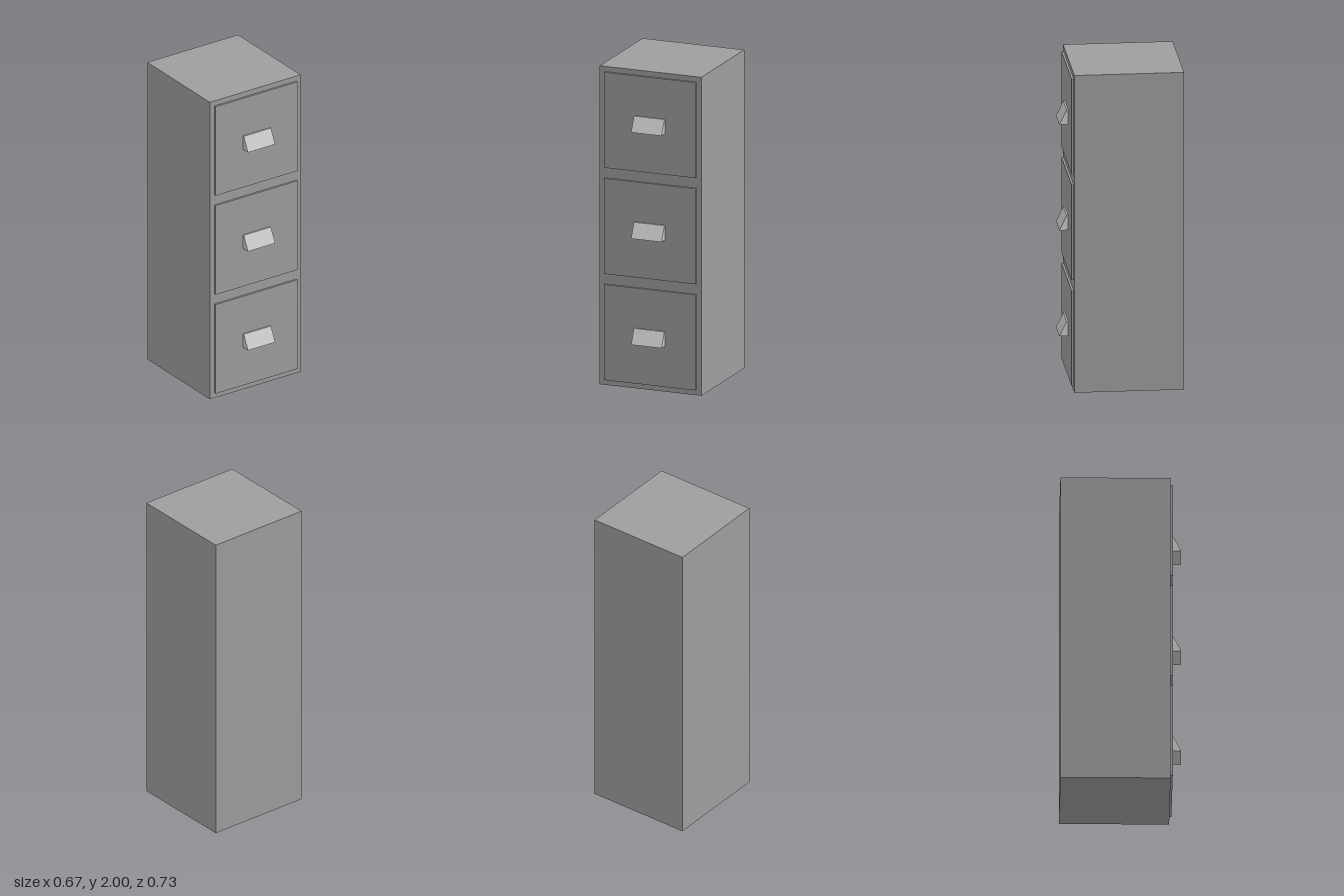
import * as THREE from 'three';

const bodyMaterial = new THREE.MeshStandardMaterial({ color: 0x9e9e9e, flatShading: true });
const handleMaterial = new THREE.MeshStandardMaterial({ color: 0xcccccc, flatShading: true });

const WIDTH = 0.667, HEIGHT = 2, BACK = -0.367, FRONT = 0.3;
const PANEL_SIZE = 0.6, PANEL_DEPTH = 0.013;
const HANDLE_WIDTH = 0.2;

// Wedge-shaped pull: profile is (outward, up), extruded across the drawer
function createHandleGeometry() {
  const profile = new THREE.Shape([
    new THREE.Vector2(0, -0.043),
    new THREE.Vector2(0.054, -0.043),
    new THREE.Vector2(0.009, 0.048),
    new THREE.Vector2(0, 0.048),
  ]);
  const geometry = new THREE.ExtrudeGeometry(profile, { depth: HANDLE_WIDTH, bevelEnabled: false });
  geometry.translate(0, 0, -HANDLE_WIDTH / 2);
  geometry.rotateY(-Math.PI / 2);
  return geometry;
}

export function createModel() {
  const model = new THREE.Group();
  model.name = 'filingCabinet';

  // Cabinet body
  const body = new THREE.Mesh(new THREE.BoxGeometry(WIDTH, HEIGHT, FRONT - BACK), bodyMaterial);
  body.name = 'cabinetBody';
  body.position.set(0, HEIGHT / 2, (FRONT + BACK) / 2);
  model.add(body);

  // Three equal drawers, each a raised panel with a pull
  const panelGeometry = new THREE.BoxGeometry(PANEL_SIZE, PANEL_SIZE, PANEL_DEPTH);
  const handleGeometry = createHandleGeometry();
  for (let i = 0; i < 3; i++) {
    const drawer = new THREE.Group();
    drawer.name = `drawer${i + 1}`;
    drawer.position.set(0, (HEIGHT / 3) * (i + 0.5), FRONT);

    const panel = new THREE.Mesh(panelGeometry, bodyMaterial);
    panel.name = 'drawerFront';
    panel.position.z = PANEL_DEPTH / 2;

    const handle = new THREE.Mesh(handleGeometry, handleMaterial);
    handle.name = 'drawerHandle';
    handle.position.z = PANEL_DEPTH;

    drawer.add(panel, handle);
    model.add(drawer);
  }
  return model;
}
